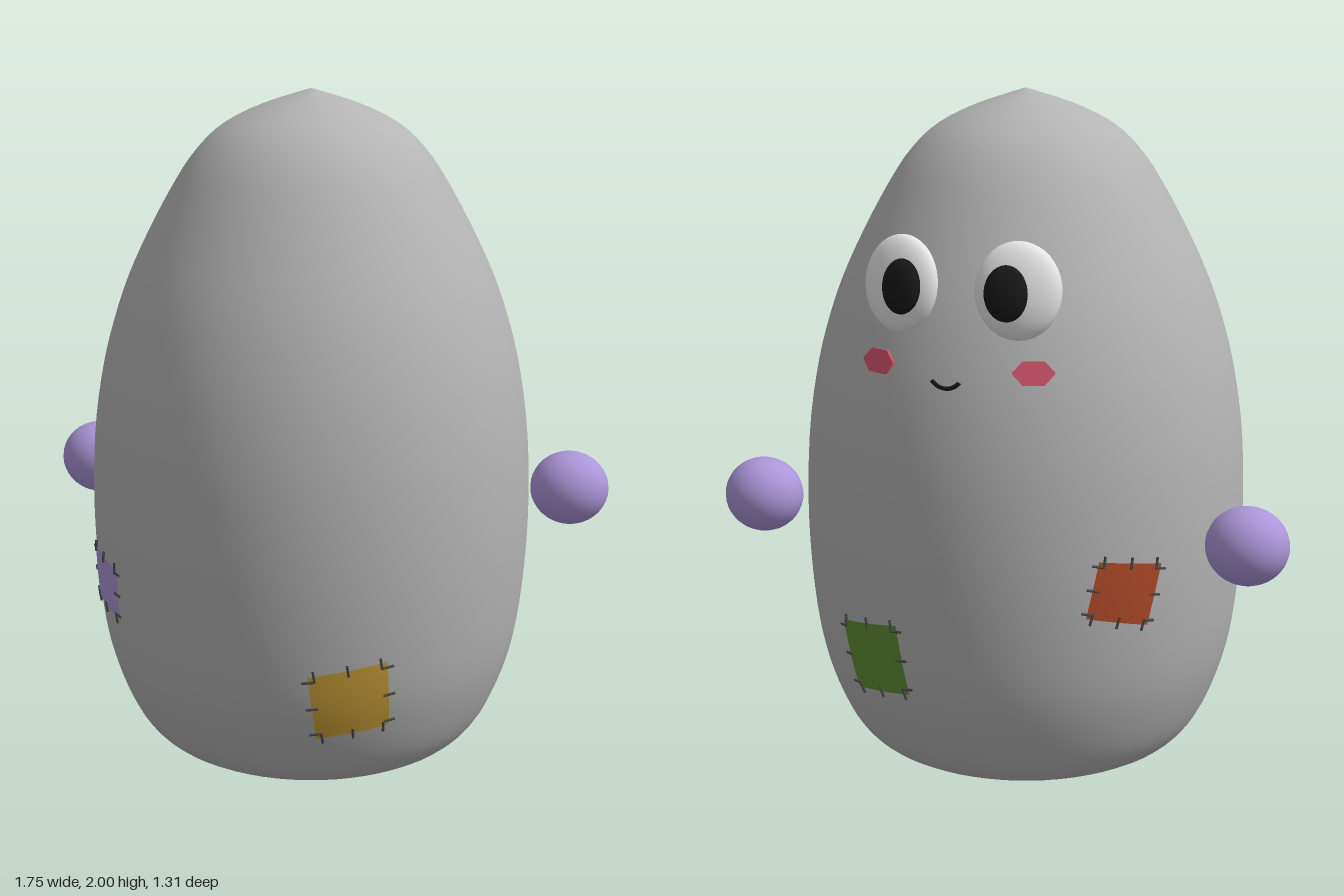
import * as THREE from 'three';

const mat = (name, color, side = THREE.FrontSide) => {
  const m = new THREE.MeshStandardMaterial({ color, side });
  m.name = name;
  return m;
};

// Body silhouette, radius and height from the base to the pointed crown
const outline = [
  [0.4, 0.012], [0.475, 0.05], [0.53, 0.11], [0.575, 0.2], [0.615, 0.32], [0.638, 0.45],
  [0.653, 0.62], [0.657, 0.8], [0.647, 1.0], [0.62, 1.18], [0.585, 1.32], [0.54, 1.45],
  [0.48, 1.58], [0.41, 1.71], [0.345, 1.81], [0.265, 1.89], [0.15, 1.95], [0, 2.0],
].map(([r, y]) => new THREE.Vector2(r, y));
const profile = new THREE.SplineCurve(outline).getPoints(54);

// Body radius at a given height
function radiusAt(y) {
  for (let i = 1; i < profile.length; i++) {
    const a = profile[i - 1], b = profile[i];
    if (y <= b.y) return a.x + (b.x - a.x) * (y - a.y) / (b.y - a.y);
  }
  return 0;
}

// Point on the body; angle runs from +z towards +x
function onBody(angle, y, lift) {
  const r = radiusAt(y) + lift;
  return new THREE.Vector3(Math.sin(angle) * r, y, Math.cos(angle) * r);
}

export function createModel() {
  const model = new THREE.Group();
  const grey = mat('body grey', 0xb4b4b4);
  const purple = mat('soft purple', 0xab96d8);
  const white = mat('eye white', 0xf0f0f0);
  const black = mat('black', 0x181818);
  const pink = mat('cheek pink', 0xd8566f);
  const yellow = mat('patch yellow', 0xc79d38);
  const green = mat('patch green', 0x5f9035);
  const red = mat('patch rust', 0xb04a28);
  const thread = mat('thread grey', 0x4a4a4a);

  const add = (parent, name, geometry, material) => {
    const mesh = new THREE.Mesh(geometry, material);
    mesh.name = name;
    parent.add(mesh);
    return mesh;
  };
  const ball = (parent, name, material, sx, sy, sz) => {
    const mesh = add(parent, name, new THREE.SphereGeometry(1, 32, 20), material);
    mesh.scale.set(sx, sy, sz);
    return mesh;
  };

  // Body with a flat base
  const bodyPoints = [new THREE.Vector2(0, 0), new THREE.Vector2(0.2, 0.003), ...profile];
  bodyPoints[bodyPoints.length - 1].x = 0;
  add(model, 'body', new THREE.LatheGeometry(bodyPoints, 64), grey);

  for (const s of [-1, 1]) {
    const side = s > 0 ? 'left' : 'right';

    // Round floating hands
    ball(model, side + 'Hand', purple, 0.12, 0.113, 0.11).position.set(s * 0.757, 0.768, -0.252);

    // Eye with an inward-looking pupil
    const eye = new THREE.Group();
    eye.name = side + 'Eye';
    eye.position.set(s * 0.172, 1.505, -0.522);
    eye.rotation.set(-0.13, Math.PI - s * 0.24, 0, 'YXZ');
    ball(eye, 'eyeball', white, 0.12, 0.135, 0.048);
    ball(eye, 'pupil', black, 0.062, 0.077, 0.03).position.set(s * 0.028, -0.006, 0.037);
    model.add(eye);

    // Six-sided cheek
    const cheek = add(model, side + 'Cheek',
      new THREE.CylinderGeometry(1, 1, 1, 6).rotateX(Math.PI / 2).rotateZ(Math.PI / 2), pink);
    cheek.scale.set(0.06, 0.038, 0.009);
    cheek.rotation.set(-0.2, Math.PI - s * 0.39, 0, 'YXZ');
    cheek.position.copy(onBody(Math.PI - s * 0.39, 1.288, 0.006));
  }

  // Smile
  const smile = add(model, 'mouth',
    new THREE.TorusGeometry(0.05, 0.006, 8, 16, 1.9).rotateZ(-Math.PI / 2 - 0.95), black);
  smile.rotation.y = Math.PI;
  smile.position.set(0, 1.293, -0.626);

  // Sewn patches: corners run clockwise from top left, measured along the body surface
  function addPatch(name, material, degrees, y0, corners) {
    const group = new THREE.Group();
    group.name = name;
    model.add(group);
    const [tl, tr, br, bl] = corners.map(([u, v]) => new THREE.Vector2(u, v));
    const angle = THREE.MathUtils.degToRad(degrees), r0 = radiusAt(y0);
    const place = (p, lift) => onBody(angle + p.x / r0, y0 + p.y, lift);

    const cloth = new THREE.PlaneGeometry(1, 1, 8, 8);
    const pos = cloth.attributes.position;
    for (let i = 0; i < pos.count; i++) {
      const u = pos.getX(i) + 0.5, v = pos.getY(i) + 0.5;
      const p = bl.clone().lerp(br, u).lerp(tl.clone().lerp(tr, u), v);
      const q = place(p, 0.007);
      pos.setXYZ(i, q.x, q.y, q.z);
    }
    cloth.computeVertexNormals();
    add(group, 'cloth', cloth, material);

    // Stitches crossing each edge
    const ring = [tl, tr, br, bl];
    ring.forEach((a, i) => {
      const b = ring[(i + 1) % 4];
      const out = new THREE.Vector2(-(b.y - a.y), b.x - a.x).normalize().multiplyScalar(0.018);
      for (const t of [0.08, 0.5, 0.92]) {
        const p = a.clone().lerp(b, t);
        const path = new THREE.LineCurve3(
          place(p.clone().sub(out), 0.009), place(p.clone().add(out), 0.007));
        add(group, 'stitch', new THREE.TubeGeometry(path, 1, 0.004, 5), thread);
      }
    });
  }
  const tilted = [[-0.122, 0.086], [0.098, 0.121], [0.121, -0.09], [-0.096, -0.121]];
  addPatch('yellowPatch', yellow, 23, 0.353, tilted);
  addPatch('greenPatch', green, 157.4, 0.424, tilted);
  addPatch('purplePatch', purple, -55, 0.58,
    [[-0.093, 0.09], [0.108, 0.07], [0.09, -0.09], [-0.11, -0.075]]);
  addPatch('rustPatch', red, -135, 0.663,
    [[-0.08, 0.1], [0.115, 0.07], [0.075, -0.107], [-0.115, -0.063]]);

  return model;
}
